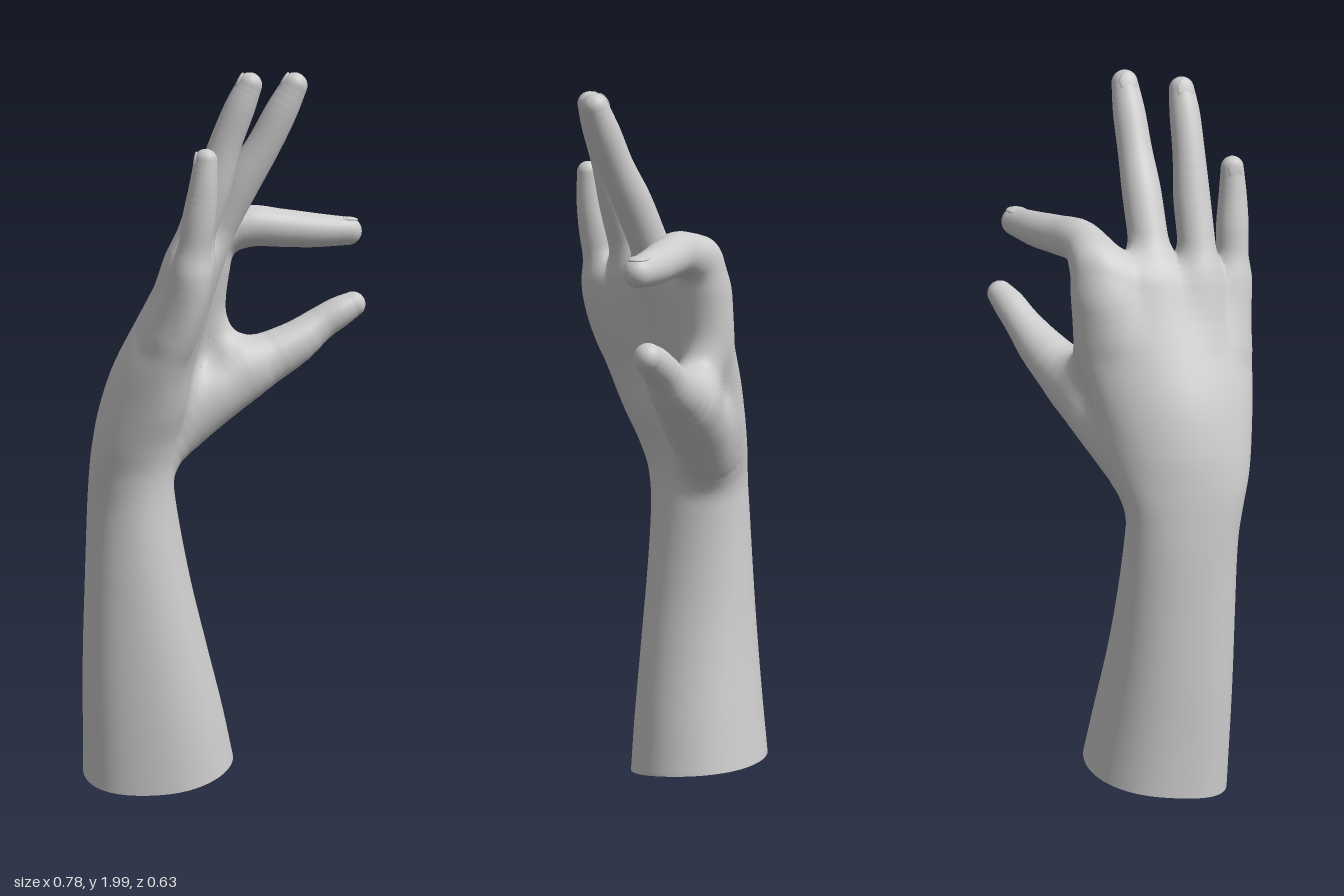
import * as THREE from 'three';

const skin = new THREE.MeshStandardMaterial({ color: 0xcccccc, side: THREE.DoubleSide });
const V = (x, y, z) => new THREE.Vector3(x, y, z);
const { clamp, lerp, smoothstep } = THREE.MathUtils;

// Forearm, wrist and palm: [y, xMin, xMax, zMin, zMax, hollow of the palm]
const ARM = [
  [0.04, -0.387, 0.03, -0.205, 0.185, 0],
  [0.2, -0.385, 0.0, -0.18, 0.189, 0],
  [0.4, -0.383, -0.045, -0.15, 0.194, 0],
  [0.6, -0.377, -0.09, -0.126, 0.199, 0],
  [0.8, -0.369, -0.125, -0.107, 0.206, 0],
  [0.9, -0.361, -0.133, -0.103, 0.222, 0],
  [0.98, -0.349, -0.12, -0.115, 0.245, 0.01],
  [1.08, -0.325, -0.085, -0.14, 0.27, 0.03],
  [1.2, -0.28, -0.06, -0.165, 0.293, 0.05],
  [1.33, -0.215, -0.027, -0.18, 0.305, 0.055],
  [1.44, -0.16, -0.008, -0.18, 0.305, 0.045],
  [1.52, -0.125, -0.005, -0.17, 0.3, 0.03],
  [1.58, -0.105, -0.015, -0.155, 0.29, 0.02],
];

// Limbs as points [x, y, z, radius], each starting deep in the palm
const FINGERS = {
  littleFinger: [[-0.12, 1.3, 0.235, 0.04], [-0.075, 1.43, 0.256, 0.048], [-0.05, 1.53, 0.265, 0.044],
    [-0.037, 1.61, 0.269, 0.044], [-0.025, 1.69, 0.273, 0.038], [-0.018, 1.763, 0.273, 0.031]],
  ringFinger: [[-0.125, 1.33, 0.145, 0.045], [-0.088, 1.47, 0.157, 0.055], [-0.05, 1.58, 0.16, 0.051],
    [-0.012, 1.69, 0.16, 0.05], [0.022, 1.8, 0.163, 0.044], [0.062, 1.9, 0.165, 0.041], [0.088, 1.96, 0.165, 0.034]],
  middleFinger: [[-0.12, 1.34, 0.04, 0.045], [-0.065, 1.47, 0.04, 0.057], [-0.005, 1.59, 0.038, 0.054],
    [0.055, 1.7, 0.04, 0.053], [0.114, 1.795, 0.042, 0.047], [0.163, 1.888, 0.042, 0.044], [0.2, 1.96, 0.042, 0.036]],
  indexFinger: [[-0.115, 1.36, -0.09, 0.045], [-0.075, 1.47, -0.108, 0.058], [-0.02, 1.545, -0.118, 0.062],
    [0.06, 1.572, -0.132, 0.059], [0.15, 1.566, -0.164, 0.054], [0.24, 1.558, -0.2, 0.049], [0.338, 1.554, -0.234, 0.04]],
};
const THUMB = [[-0.23, 0.92, 0, 0.06], [-0.16, 0.99, -0.045, 0.083], [-0.08, 1.075, -0.085, 0.096],
  [0.01, 1.137, -0.13, 0.09], [0.1, 1.187, -0.175, 0.076], [0.19, 1.235, -0.215, 0.062],
  [0.26, 1.287, -0.247, 0.049], [0.31, 1.318, -0.264, 0.045], [0.352, 1.341, -0.28, 0.037]];
const WEB = [[0.035, 1.18, -0.145, 0.06], [-0.02, 1.235, -0.134, 0.058], [-0.055, 1.32, -0.128, 0.052], [-0.06, 1.44, -0.115, 0.052]];

// Arm section at height y, eased between the rows above
function section(y) {
  y = clamp(y, ARM[0][0], ARM.at(-1)[0]);
  let k = 0;
  while (k < ARM.length - 2 && y > ARM[k + 1][0]) k++;
  const h = ARM[k + 1][0] - ARM[k][0], t = (y - ARM[k][0]) / h;
  const slope = (i, c) => {
    const a = ARM[Math.max(i - 1, 0)], b = ARM[Math.min(i + 1, ARM.length - 1)];
    return (b[c] - a[c]) / (b[0] - a[0]);
  };
  const at = c => {
    const p = ARM[k][c], q = ARM[k + 1][c], t2 = t * t, t3 = t2 * t;
    return p + (q - p) * (3 * t2 - 2 * t3) + h * (slope(k, c) * (t3 - 2 * t2 + t) + slope(k + 1, c) * (t3 - t2));
  };
  const x0 = at(1), x1 = at(2), z0 = at(3), z1 = at(4);
  return { cx: (x0 + x1) / 2, hx: (x1 - x0) / 2, cz: (z0 + z1) / 2, hz: (z1 - z0) / 2, hollow: at(5) };
}

// The cut end and the knuckle line both slope along z
const shear = (y, z) => (0.015 - 0.2 * z - 0.4 * z * z) * Math.max(0, 1 - y / 0.5) - 0.24 * z * smoothstep(y, 1.15, 1.52);

// The forearm is fuller on its outer corner, towards -x and +z
function fullness(v, cos, sin) {
  const corner = Math.max(0, (sin - cos) * Math.SQRT1_2) ** 6;
  return 1 + 0.16 * corner * (1 - 0.5 * smoothstep(v, 0.2, 0.9)) * (1 - smoothstep(v, 0.9, 1.25));
}

// Minimum with a soft fillet of size k
function soften(a, b, k) {
  const h = Math.max(k - Math.abs(a - b), 0) / k;
  return Math.min(a, b) - h * h * k / 4;
}

function armDistance(p) {
  const v = p.y - shear(p.y, p.z), s = section(v);
  const w = clamp((p.z - s.cz) / s.hz, -1, 1);
  const a = (p.x - s.cx - s.hollow * (w * w - 0.3)) / s.hx, b = (p.z - s.cz) / s.hz;
  const r = Math.hypot(a, b) + 1e-6, k0 = r / fullness(v, a / r, b / r);
  const side = k0 * (k0 - 1) / (Math.hypot(a / s.hx, b / s.hz) + 1e-6);
  return -soften(-side, 1.555 - v, 0.06);
}

// Curve of a limb with its radius, and the distance to it
function limbShape(pts) {
  const path = new THREE.CatmullRomCurve3(pts.map(p => V(p[0], p[1], p[2])));
  const radii = new THREE.CatmullRomCurve3(pts.map((p, i) => V(p[3], i * 0.1, 0)));
  const nodes = [];
  for (let i = 0; i <= 24; i++) nodes.push({ c: path.getPoint(i / 24), r: radii.getPoint(i / 24).x });
  const distance = p => {
    let best = Infinity;
    for (let i = 0; i < 24; i++) {
      const a = nodes[i].c, b = nodes[i + 1].c;
      const dx = b.x - a.x, dy = b.y - a.y, dz = b.z - a.z, x = p.x - a.x, y = p.y - a.y, z = p.z - a.z;
      const t = clamp((x * dx + y * dy + z * dz) / (dx * dx + dy * dy + dz * dz), 0, 1);
      best = Math.min(best, Math.hypot(x - t * dx, y - t * dy, z - t * dz) - lerp(nodes[i].r, nodes[i + 1].r, t));
    }
    return best;
  };
  const frame = t => {
    const dir = path.getTangent(t), back = V(0, 0, 1).cross(dir).normalize();
    return { c: path.getPoint(t), r: radii.getPoint(t).x, dir, back, side: dir.clone().cross(back) };
  };
  return { distance, frame };
}

const fingers = Object.entries(FINGERS).map(([name, pts]) => ({ name, shape: limbShape(pts) }));
const thumb = limbShape(THUMB), web = limbShape(WEB);

// One continuous skin: fingers melt into the palm, thumb and web into both
function skinDistance(p) {
  const palm = soften(armDistance(p), Math.min(...fingers.map(f => f.shape.distance(p))), 0.06);
  return soften(palm, soften(thumb.distance(p), web.distance(p), 0.06), 0.065);
}
function gradient(p) {
  const e = 0.004, f = (x, y, z) => skinDistance(V(p.x + x, p.y + y, p.z + z));
  return V(f(e, 0, 0) - f(-e, 0, 0), f(0, e, 0) - f(0, -e, 0), f(0, 0, e) - f(0, 0, -e)).divideScalar(2 * e);
}

// Surface through closed rings, its exposed points settled onto the common skin
function loft(name, rings) {
  const n = rings[0].length, index = [], points = rings.flat(), normals = [];
  for (let i = 0; i < rings.length - 1; i++) {
    for (let j = 0; j < n; j++) {
      const k = (j + 1) % n, a = i * n + j, b = i * n + k;
      index.push(a, b, a + n, b, b + n, a + n);
    }
  }
  for (const p of points) {
    let d = skinDistance(p);
    for (let i = 0; i < 4 && d > -0.03 && Math.abs(d) > 2e-4; i++) {
      const g = gradient(p);
      p.addScaledVector(g, -d / Math.max(g.lengthSq(), 0.3));
      d = skinDistance(p);
    }
    normals.push(gradient(p).normalize());
  }
  const geo = new THREE.BufferGeometry().setFromPoints(points);
  geo.setAttribute('normal', new THREE.Float32BufferAttribute(normals.flatMap(v => [v.x, v.y, v.z]), 3));
  geo.setIndex(index);
  const mesh = new THREE.Mesh(geo, skin);
  mesh.name = name;
  return mesh;
}

function armAndPalm() {
  const rings = [];
  const addRing = (v, size) => {
    const s = section(v), ring = [];
    for (let j = 0; j < 84; j++) {
      const a = j / 84 * Math.PI * 2, full = size * fullness(v, Math.cos(a), -Math.sin(a));
      const sin = Math.sin(a) * full, z = s.cz - s.hz * sin;
      ring.push(V(s.cx + s.hx * Math.cos(a) * full + s.hollow * (Math.min(sin * sin, 1) - 0.3), v + shear(v, z), z));
    }
    rings.push(ring);
  };
  for (let i = 0; i <= 120; i++) addRing(lerp(0.04, 1.545, i / 120), 1);
  for (let i = 1; i <= 12; i++) addRing(1.55, 1 - i / 12.2);
  return loft('forearmAndPalm', rings);
}

// Round limb closed by a domed tip
function limb(name, shape) {
  const rings = [];
  const addRing = (f, along, r) => {
    const ring = [];
    for (let j = 0; j < 28; j++) {
      const a = j / 28 * Math.PI * 2;
      ring.push(f.c.clone().addScaledVector(f.dir, along)
        .addScaledVector(f.back, Math.cos(a) * r).addScaledVector(f.side, Math.sin(a) * r));
    }
    rings.push(ring);
  };
  for (let i = 0; i <= 44; i++) addRing(shape.frame(i / 44), 0, shape.frame(i / 44).r);
  const end = shape.frame(1);
  for (let i = 1; i <= 7; i++) addRing(end, Math.sin(i / 14 * Math.PI) * end.r, Math.cos(i / 14 * Math.PI) * end.r);
  return loft(name, rings);
}

// Slim nail sunk into the back of a fingertip
function nail(shape) {
  const f = shape.frame(1), mesh = new THREE.Mesh(new THREE.SphereGeometry(1, 20, 12), skin);
  mesh.name = 'nail';
  mesh.scale.set(f.r * 0.2, f.r * 0.85, f.r * 0.68);
  mesh.quaternion.setFromRotationMatrix(new THREE.Matrix4().makeBasis(f.back, f.dir, f.side.clone().negate()));
  mesh.position.copy(f.c).addScaledVector(f.back, f.r * 0.84).addScaledVector(f.dir, -f.r * 0.15);
  return mesh;
}

export function createModel() {
  const model = new THREE.Group();
  model.name = 'hand';
  model.add(armAndPalm(), limb('thumb', thumb), limb('thumbWeb', web));
  for (const { name, shape } of fingers) model.add(limb(name, shape), nail(shape));
  return model;
}
